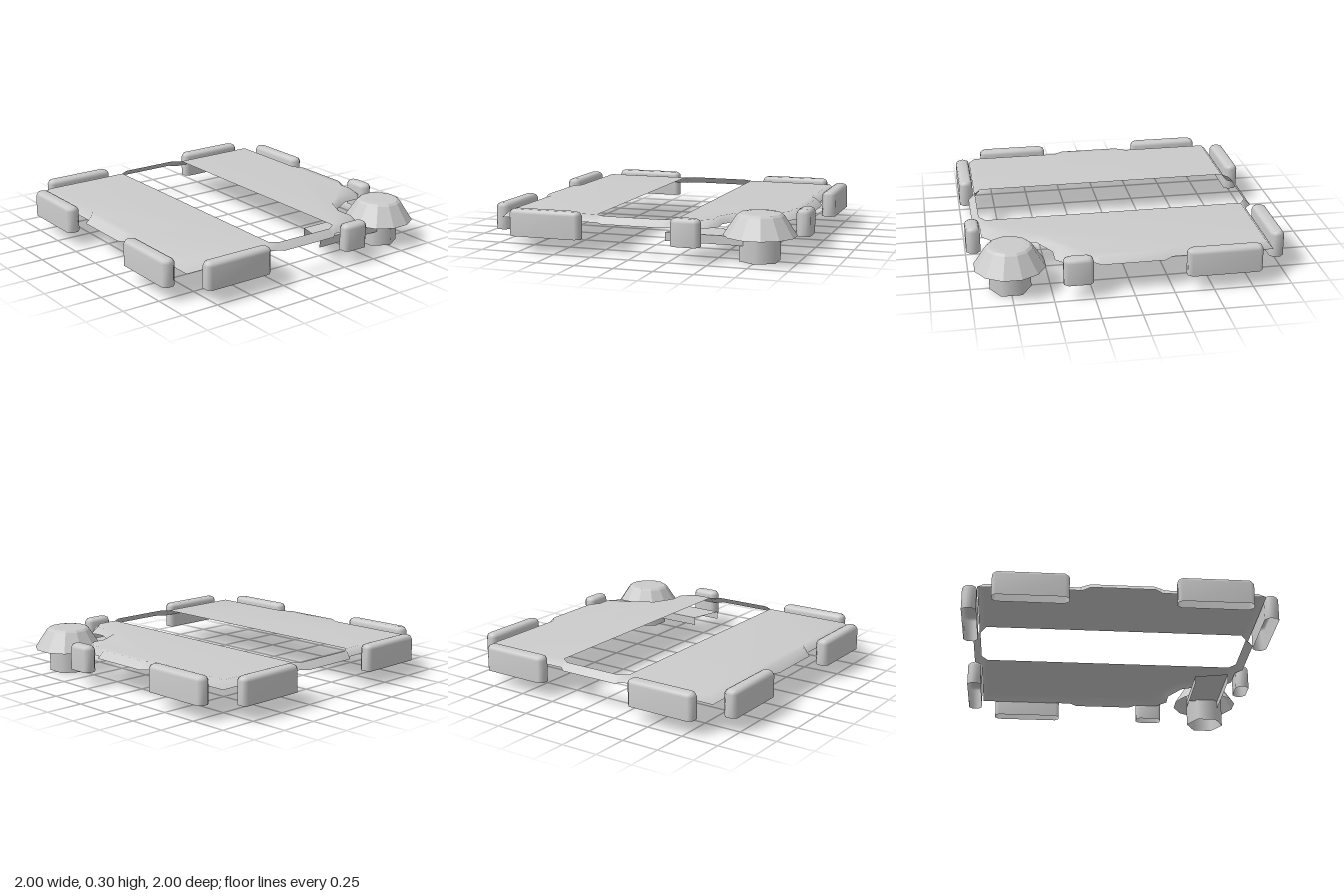
import * as THREE from 'three';

const grey = (flatShading) => new THREE.MeshStandardMaterial({ color: 0xcccccc, side: THREE.DoubleSide, flatShading });

function meshFrom(name, positions, index, flat) {
  const g = new THREE.BufferGeometry();
  g.setAttribute('position', new THREE.Float32BufferAttribute(positions.flat(), 3));
  g.setIndex(index);
  g.computeVertexNormals();
  const mesh = new THREE.Mesh(g, grey(flat));
  mesh.name = name;
  return mesh;
}

// Deck outline, counter-clockwise from above: [outer x, outer z, inner x, inner z]
const frontEdge = [
  [-0.9, 0.9, -0.86, 0.855], [-0.25, 0.9, -0.27, 0.855], [-0.2, 0.945, -0.2, 0.9],
  [0.2, 0.945, 0.2, 0.9], [0.25, 0.9, 0.27, 0.855], [0.9, 0.9, 0.86, 0.855],
];
const leftSide = [
  [0.9, 0.25, 0.86, 0.26], [0.945, 0.2, 0.9, 0.2],
  [0.945, -0.2, 0.9, -0.2], [0.9, -0.25, 0.86, -0.26],
];
const notch = [
  [0.9, -0.42, 0.86, -0.4], [0.815, -0.515, 0.785, -0.48], [0.7, -0.505, 0.675, -0.475],
  [0.555, -0.57, 0.53, -0.545], [0.475, -0.71, 0.445, -0.695],
  [0.475, -0.825, 0.445, -0.785], [0.405, -0.9, 0.365, -0.855],
];
const turn = (p) => p.map((v) => -v); // half turn about the centre
const outline = [...frontEdge, ...leftSide, ...notch,
  ...frontEdge.slice(1, 5).map(turn), turn(frontEdge[5]), ...leftSide.map(turn)];

// Thin deck: sloping rim all round, top panels at front and back, open middle
function deck() {
  const n = outline.length;
  const outer = outline.map((p) => [p[0], 0.2, p[1]]);
  const inner = outline.map((p) => [p[2], 0.245, p[3]]);
  const index = [];
  for (let i = 0; i < n; i++) {
    const j = (i + 1) % n;
    index.push(i, j, n + j, i, n + j, n + i);
  }
  for (const end of [1, -1]) {
    const ids = inner.map((p, i) => i).filter((i) => inner[i][2] * end > 0.25);
    // keep each panel's points in one unbroken run around the outline
    const pts = ids.map((i) => new THREE.Vector2(inner[i][0], -inner[i][2]));
    for (const tri of THREE.ShapeUtils.triangulateShape(pts, [])) index.push(...tri.map((k) => n + ids[k]));
  }
  return meshFrom('deck', [...outer, ...inner], index, false);
}

// Bumper: chamfered plan, bevelled top, open underneath
function bumper(name, x, z, length, turned) {
  const ring = (y, inset) => {
    const a = length / 2 - inset, b = 0.046 - inset, c = 0.026 - inset * 0.4;
    return [[-a + c, b], [a - c, b], [a, b - c], [a, -b + c], [a - c, -b], [-a + c, -b], [-a, -b + c], [-a, b - c]]
      .map(([u, v]) => [u, y, v]);
  };
  const rings = [ring(0.1, 0), ring(0.245, 0), ring(0.263, 0.008), ring(0.272, 0.024)];
  const index = [];
  for (let r = 0; r < 3; r++) {
    for (let i = 0; i < 8; i++) {
      const a = r * 8 + i, b = r * 8 + (i + 1) % 8;
      index.push(a, b, b + 8, a, b + 8, a + 8);
    }
  }
  for (let i = 1; i < 7; i++) index.push(24, 24 + i, 25 + i);
  const mesh = meshFrom(name, rings.flat(), index, false);
  mesh.position.set(x, 0, z);
  if (turned) mesh.rotation.y = Math.PI / 2;
  return mesh;
}

export function createModel() {
  const model = new THREE.Group();
  model.name = 'bumperPlate';
  model.add(deck());

  const bumpers = new THREE.Group();
  bumpers.name = 'bumpers';
  const e = 0.954, m = 0.572, len = 0.477;
  bumpers.add(
    bumper('frontRightBumper', -m, e, len, false),
    bumper('frontLeftBumper', m, e, len, false),
    bumper('backRightBumper', -m, -e, len, false),
    bumper('backLeftShortBumper', 0.347, -e, 0.185, false),
    bumper('rightFrontBumper', -e, m, len, true),
    bumper('rightBackBumper', -e, -0.577, len, true),
    bumper('leftFrontBumper', e, m, len, true),
    bumper('leftBackShortBumper', e, -0.353, 0.185, true),
  );
  model.add(bumpers);

  // Corner knob: hollow twelve-sided cap on a hexagonal post
  const knob = new THREE.Group();
  knob.name = 'cornerKnob';
  knob.position.set(0.75, 0, -0.763);
  const profile = [[0.228, 0.157], [0.146, 0.282], [0.13, 0.294], [0.1, 0.297], [0, 0.297]]
    .map(([r, y]) => new THREE.Vector2(r, y));
  const cap = new THREE.Mesh(new THREE.LatheGeometry(profile, 12, Math.PI / 12), grey(true));
  cap.name = 'knobCap';
  const post = new THREE.Mesh(
    new THREE.CylinderGeometry(0.131, 0.131, 0.28, 6, 1, true, Math.PI / 6), grey(false));
  post.name = 'knobPost';
  post.position.y = 0.14;
  knob.add(cap, post);
  model.add(knob);

  // Support channel under the deck, with a slanted free end
  const ends = [];
  for (const [x, y, z] of [[0.61, 0.1, -0.235], [0.61, 0.155, -0.235], [0.835, 0.155, -0.18], [0.835, 0.1, -0.18]]) {
    ends.push([x, y, z], [x, y, -0.68]);
  }
  const index = [];
  for (let i = 0; i < 6; i += 2) index.push(i, i + 2, i + 1, i + 1, i + 2, i + 3);
  model.add(meshFrom('supportChannel', ends, index, true));

  return model;
}
